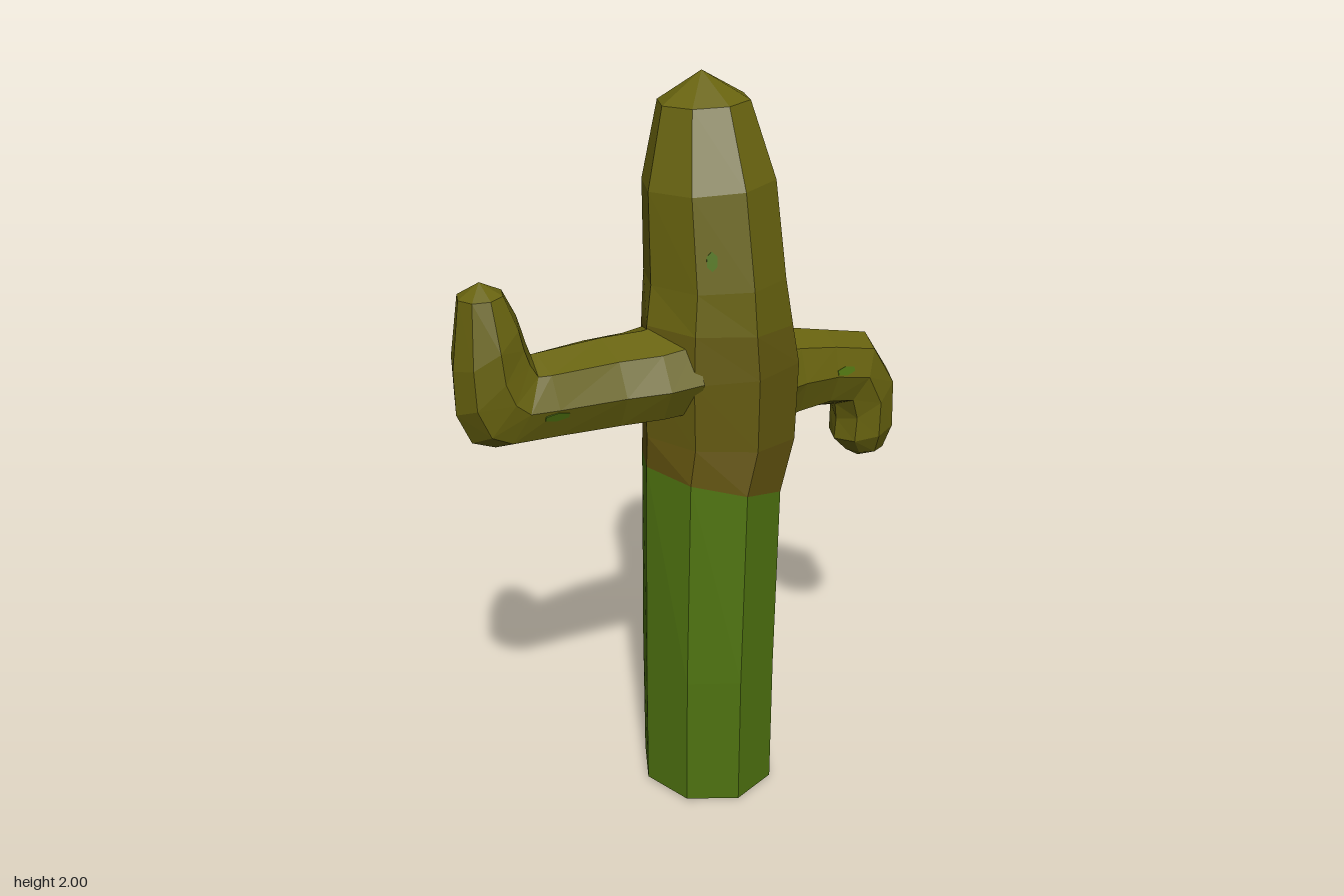
import * as THREE from 'three';

const SIDES = 8;
const mat = (name, color, side = THREE.FrontSide) =>
  new THREE.MeshStandardMaterial({ name, color, side, flatShading: true });

// Ring: [ax, ay, bx, by, centreZ, radiusZ, twist]; a and b are opposite edges in the xy plane.
function ringPoints([ax, ay, bx, by, cz, rz, twist = 0]) {
  return Array.from({ length: SIDES }, (_, k) => {
    const t = (k / SIDES) * Math.PI * 2 + twist;
    const f = Math.cos(t) / Math.cos(twist) / 2;
    return [(ax + bx) / 2 + (bx - ax) * f, (ay + by) / 2 + (by - ay) * f, cz + rz * Math.sin(t)];
  });
}

// Skin the rings, closing the far end on a tip point if one is given
function loft(name, material, rings, tip) {
  const loops = rings.map(ringPoints);
  const pos = [];
  const tri = (...pts) => pts.forEach((p) => pos.push(...p));
  for (let k = 0; k < SIDES; k++) {
    const n = (k + 1) % SIDES;
    for (let i = 0; i < loops.length - 1; i++) {
      const p = loops[i], q = loops[i + 1];
      tri(p[k], q[k], q[n]);
      tri(p[k], q[n], p[n]);
    }
    const last = loops[loops.length - 1];
    if (tip) tri(tip, last[n], last[k]);
  }
  const geo = new THREE.BufferGeometry();
  geo.setAttribute('position', new THREE.Float32BufferAttribute(pos, 3));
  geo.computeVertexNormals();
  const mesh = new THREE.Mesh(geo, material);
  mesh.name = name;
  return mesh;
}

export function createModel() {
  const group = new THREE.Group();
  group.name = 'cactus';
  const green = mat('stemGreen', 0x4f7310, THREE.DoubleSide);
  const brown = mat('dryBrown', 0x62530f);
  const brownOlive = mat('brownOlive', 0x63590f);
  const olive = mat('olive', 0x68630f);

  // Trunk bands share their boundary rings
  const colourLine = [-0.16, 1.01, 0.225, 0.9, 0.002, 0.193, 0.05];
  const waist = [-0.162, 1.1, 0.275, 1.05, 0, 0.19];
  const shoulder = [-0.155, 1.4, 0.262, 1.37, -0.004, 0.187];
  const trunk = [
    loft('lowerTrunk', green, [
      [-0.165, 0.012, 0.21, 0.005, 0, 0.2, 0.1],
      [-0.165, 0.4, 0.208, 0.4, 0.003, 0.203, 0.1],
      colourLine,
    ]),
    loft('trunkTransition', brown, [colourLine, waist]),
    loft('trunkMiddle', brownOlive, [
      waist,
      [-0.167, 1.27, 0.285, 1.27, 0, 0.19],
      shoulder,
    ]),
    loft('upperTrunk', olive, [
      shoulder,
      [-0.138, 1.5, 0.235, 1.5, -0.01, 0.186],
      [-0.13, 1.73, 0.216, 1.75, -0.03, 0.17],
      [-0.072, 1.925, 0.165, 1.935, -0.058, 0.117],
    ], [0.045, 2, -0.065]),
  ];

  // Arm that bends upward
  const rightArm = loft('rightArm', olive, [
    [-0.08, 1.15, -0.08, 1.4, 0, 0.15],
    [-0.17, 1.15, -0.17, 1.39, 0, 0.142],
    [-0.28, 1.15, -0.28, 1.388, -0.015, 0.13],
    [-0.45, 1.16, -0.46, 1.385, -0.01, 0.11],
    [-0.58, 1.165, -0.475, 1.385, -0.01, 0.102],
    [-0.64, 1.19, -0.487, 1.42, -0.01, 0.1],
    [-0.675, 1.27, -0.495, 1.45, -0.01, 0.097],
    [-0.675, 1.38, -0.507, 1.49, -0.01, 0.093],
    [-0.65, 1.55, -0.54, 1.558, -0.01, 0.062],
  ], [-0.595, 1.585, -0.01]);

  // Arm that droops downward
  const leftArm = loft('leftArm', olive, [
    [0.2, 1.32, 0.2, 1.04, -0.03, 0.13],
    [0.29, 1.305, 0.29, 1.05, -0.027, 0.105],
    [0.42, 1.275, 0.4, 1.055, -0.025, 0.085],
    [0.57, 1.238, 0.475, 1.04, -0.035, 0.09],
    [0.66, 1.11, 0.485, 0.99, -0.04, 0.09],
    [0.67, 0.96, 0.48, 0.93, -0.04, 0.086],
    [0.645, 0.885, 0.525, 0.885, -0.04, 0.058],
  ], [0.57, 0.857, -0.04]);

  group.add(...trunk, rightArm, leftArm);

  // Small green patches laid flat on the front
  const patches = [
    [rightArm, -0.46, 1.255, 0.07, 0.026],
    [leftArm, 0.44, 1.175, 0.07, 0.026],
    [trunk[3], -0.045, 1.58, 0.03, 0.05],
  ];
  for (const [target, x, y, w, h] of patches) {
    const ray = new THREE.Raycaster(new THREE.Vector3(x, y, 2), new THREE.Vector3(0, 0, -1));
    const hit = ray.intersectObject(target)[0];
    if (!hit) continue;
    const patch = new THREE.Mesh(new THREE.CylinderGeometry(0.5, 0.5, 0.004, 6).rotateX(Math.PI / 2), green);
    patch.scale.set(w, h, 1);
    patch.position.copy(hit.point);
    patch.quaternion.setFromUnitVectors(new THREE.Vector3(0, 0, 1), hit.face.normal);
    patch.name = 'greenPatch';
    group.add(patch);
  }
  return group;
}
